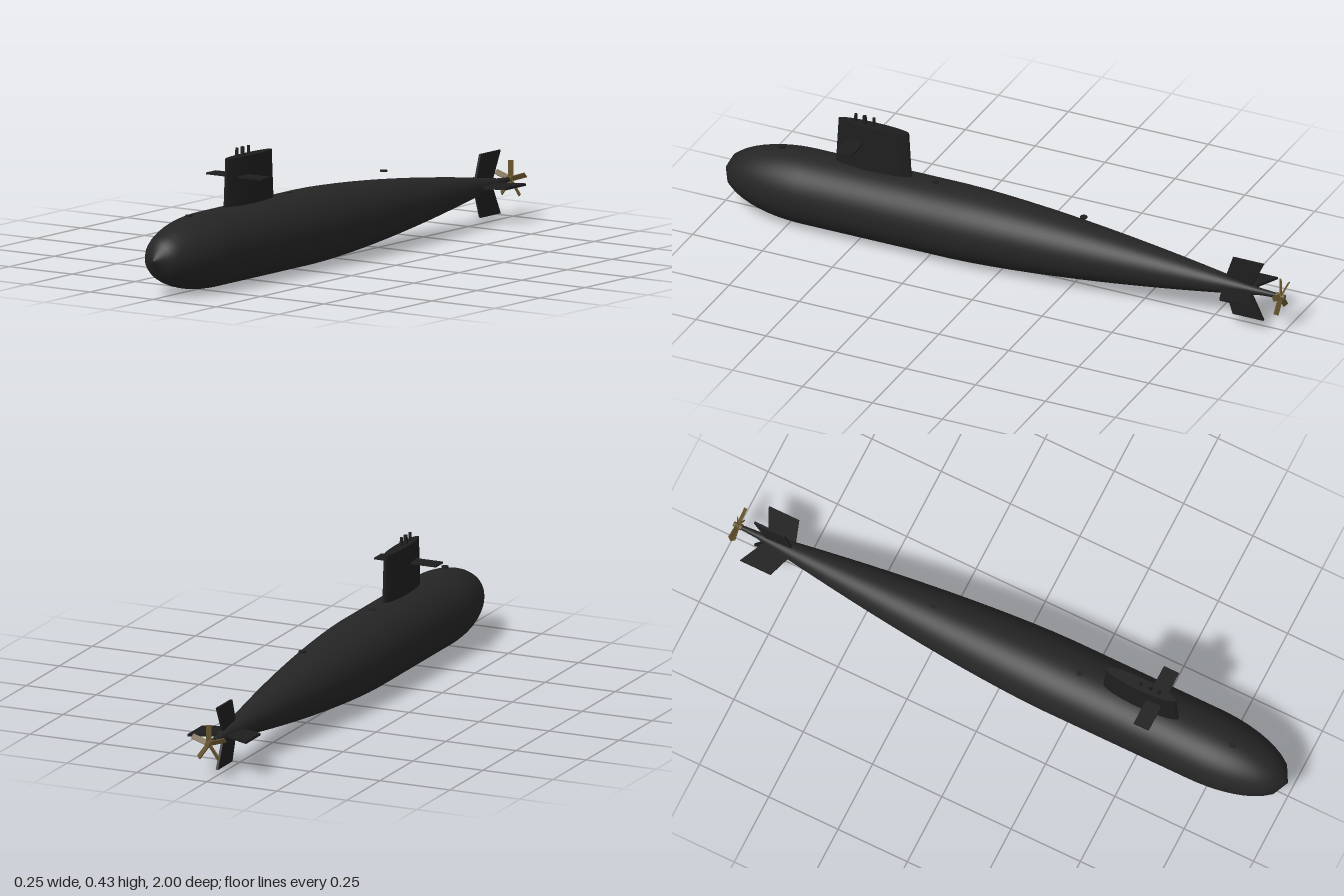
import * as THREE from 'three';

export function createModel() {
  const model = new THREE.Group();
  const material = (name, color) => {
    const m = new THREE.MeshStandardMaterial({ color });
    m.name = name;
    return m;
  };
  const hullBlack = material('hull black', 0x252525);
  const fittingBlack = material('fitting black', 0x1e1e1e);
  const brass = material('dull brass', 0x6a5830);

  const R = 0.124; // hull radius, also the height of its axis
  const add = (name, geometry, mat, x = 0, y = 0, z = 0, parent = model) => {
    const mesh = new THREE.Mesh(geometry, mat);
    mesh.name = name;
    mesh.position.set(x, y, z);
    parent.add(mesh);
    return mesh;
  };

  // Hull: tapered stern, parallel middle, elliptical bow
  const profile = [new THREE.Vector2(0, -0.985)];
  for (let i = 0; i <= 16; i++) {
    const t = 1 - i / 16;
    profile.push(new THREE.Vector2(Math.max(0.007, R * (1 - t ** 1.55)), 0.17 - 1.155 * t));
  }
  for (let i = 0; i <= 10; i++) {
    const t = i / 10;
    profile.push(new THREE.Vector2(R * Math.sqrt(1 - t * t), 0.7 + 0.3 * t));
  }
  add('hull', new THREE.LatheGeometry(profile, 48).rotateX(Math.PI / 2), hullBlack, 0, R, 0);

  // Sail: tapered tower with an elliptical plan
  const sail = new THREE.CylinderGeometry(0.126, 0.137, 0.185, 40);
  sail.scale(0.163, 1, 1);
  add('sail', sail, fittingBlack, 0, 0.3125, 0.47);

  // Sail planes
  for (const side of [1, -1]) {
    add('sailPlane', new THREE.BoxGeometry(0.1, 0.006, 0.054), fittingBlack, side * 0.06, 0.341, 0.525);
  }

  // Masts on top of the sail
  [0.535, 0.503, 0.47].forEach((z, i) => {
    const r = i === 1 ? 0.008 : 0.006;
    add('mast', new THREE.CylinderGeometry(r * 0.8, r, 0.05, 12), fittingBlack, 0, 0.408, z);
  });

  // Deck hatches
  for (const z of [0.8, 0.25, -0.28]) {
    add('hatch', new THREE.CylinderGeometry(0.012, 0.012, 0.005, 16), fittingBlack, 0, 0.247, z);
  }

  // Swept tail fins in a cross
  const outline = new THREE.Shape([
    [0, -0.78], [0.104, -0.815], [0.104, -0.925], [0, -0.875],
  ].map(([r, z]) => new THREE.Vector2(r, z)));
  const finGeometry = new THREE.ExtrudeGeometry(outline, { depth: 0.008, bevelEnabled: false });
  finGeometry.translate(0, 0, -0.004).rotateX(Math.PI / 2);
  for (let i = 0; i < 4; i++) {
    add('tailFin', finGeometry, fittingBlack, 0, R, 0).rotation.z = i * Math.PI / 2;
  }

  // Five-bladed propeller
  const propeller = new THREE.Group();
  propeller.name = 'propeller';
  propeller.position.set(0, R, -0.985);
  model.add(propeller);
  add('propellerHub', new THREE.CylinderGeometry(0.011, 0.008, 0.03, 16).rotateX(Math.PI / 2),
    brass, 0, 0, 0, propeller);
  const blade = new THREE.BoxGeometry(0.018, 0.056, 0.004);
  blade.rotateY(0.6).translate(0, 0.034, 0);
  for (let i = 0; i < 5; i++) {
    add('propellerBlade', blade, brass, 0, 0, 0, propeller).rotation.z = i * Math.PI * 2 / 5;
  }

  return model;
}
